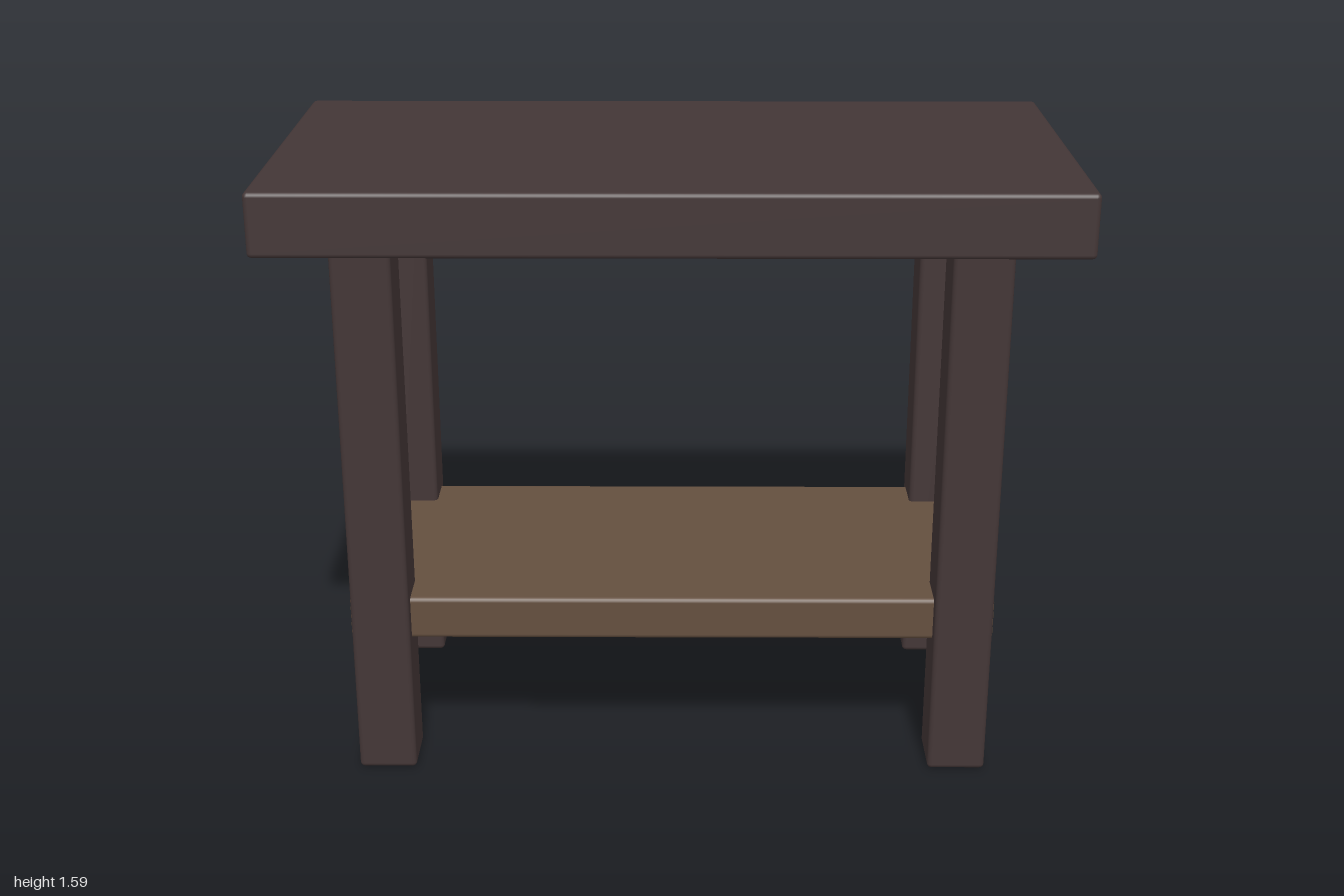
import * as THREE from 'three';
import { RoundedBoxGeometry } from 'three/addons/geometries/RoundedBoxGeometry.js';

export function createModel() {
  const group = new THREE.Group();
  group.name = 'sideTable';

  const darkWood = new THREE.MeshStandardMaterial({ color: 0x433636 });
  darkWood.name = 'dark wood';
  const brownWood = new THREE.MeshStandardMaterial({ color: 0x644f3f });
  brownWood.name = 'brown wood';

  // Board with softly worn edges, placed by its bottom height
  function board(name, material, [w, h, d], [x, bottom, z]) {
    const mesh = new THREE.Mesh(new RoundedBoxGeometry(w, h, d, 2, 0.012), material);
    mesh.name = name;
    mesh.position.set(x, bottom + h / 2, z);
    group.add(mesh);
  }

  // Thick top slab
  board('tableTop', darkWood, [2, 0.16, 0.995], [0, 1.427, 0]);

  // Four square legs, set slightly into the slab
  for (const x of [-1, 1]) {
    for (const z of [-1, 1]) {
      const name = (z > 0 ? 'front' : 'back') + (x > 0 ? 'Left' : 'Right') + 'Leg';
      board(name, darkWood, [0.15, 1.45, 0.15], [x * 0.75, 0, z * 0.333]);
    }
  }

  // Lower shelf, its ends just showing past the legs
  board('shelf', brownWood, [1.664, 0.115, 0.746], [0, 0.365, 0]);

  return group;
}
